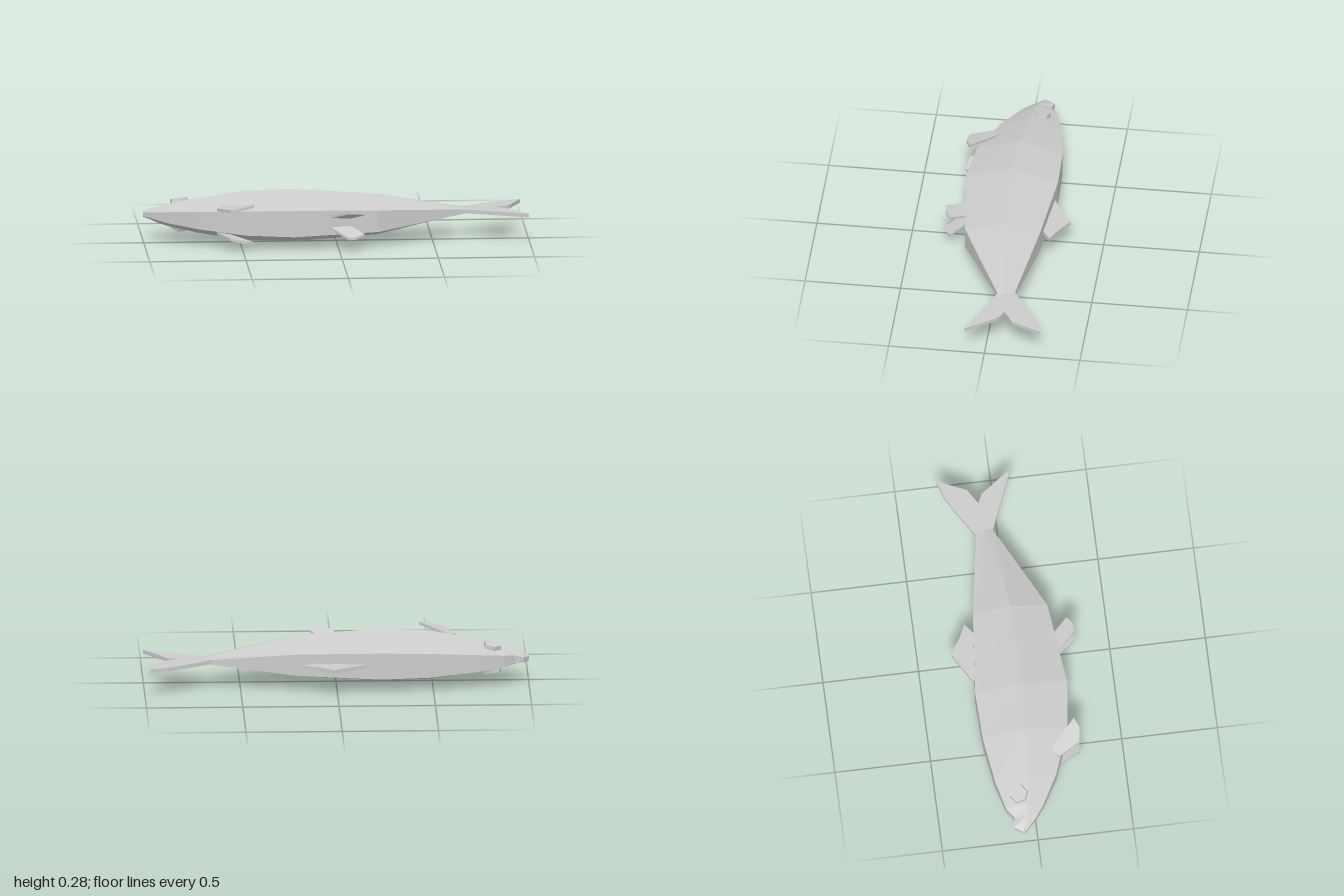
import * as THREE from 'three';

const MID = 0.141; // height of the fish's symmetry plane (it lies on its side)
const material = new THREE.MeshStandardMaterial({ color: 0xcccccc, flatShading: true });

// Body stations: x, back z, ridge z, belly z, ridge half thickness, edge half thickness
const stations = [
  [-1.0, -0.078, -0.07, -0.062, 0.015, 0.01],
  [-0.97, -0.125, -0.062, -0.035, 0.025, 0.014],
  [-0.925, -0.11, -0.045, 0.005, 0.042, 0.022],
  [-0.87, -0.15, -0.035, 0.045, 0.06, 0.03],
  [-0.72, -0.19, -0.015, 0.13, 0.092, 0.046],
  [-0.48, -0.225, 0, 0.22, 0.13, 0.064],
  [-0.23, -0.233, 0.01, 0.25, 0.139, 0.07],
  [0.21, -0.19, 0.01, 0.2, 0.108, 0.057],
  [0.68, -0.115, -0.07, -0.03, 0.014, 0.01],
];

// Six-sided cross-sections joined along the length
function bodyGeometry() {
  const points = [], faces = [], last = (stations.length - 1) * 6;
  for (const [x, back, ridge, belly, h, e] of stations) {
    for (const [z, y] of [[back, e], [ridge, h], [belly, e], [belly, -e], [ridge, -h], [back, -e]]) {
      points.push(x, MID + y, z);
    }
  }
  for (let i = 0; i < last; i += 6) {
    for (let j = 0; j < 6; j++) {
      const k = (j + 1) % 6;
      const a = i + j, b = a + 6, c = i + 6 + k, d = i + k;
      faces.push(a, d, c, a, c, b);
    }
  }
  for (let j = 1; j < 5; j++) {
    faces.push(0, j + 1, j, last, last + j, last + j + 1);
  }
  const indexed = new THREE.BufferGeometry();
  indexed.setAttribute('position', new THREE.Float32BufferAttribute(points, 3));
  indexed.setIndex(faces);
  const geometry = indexed.toNonIndexed();
  geometry.computeVertexNormals();
  return geometry;
}

// Thin plate from an (x, z) outline; height(x, z) gives its middle surface
function finGeometry(outline, thickness, height) {
  const shape = new THREE.Shape(outline.map(([x, z]) => new THREE.Vector2(x, z)));
  const geometry = new THREE.ExtrudeGeometry(shape, { depth: thickness, bevelEnabled: false });
  geometry.rotateX(Math.PI / 2).translate(0, thickness / 2, 0);
  const p = geometry.attributes.position;
  for (let i = 0; i < p.count; i++) {
    p.setY(i, p.getY(i) + height(p.getX(i), p.getZ(i)));
  }
  geometry.computeVertexNormals();
  return geometry;
}

export function createModel() {
  const group = new THREE.Group();
  const add = (name, geometry) => {
    const mesh = new THREE.Mesh(geometry, material);
    mesh.name = name;
    group.add(mesh);
    return mesh;
  };

  add('body', bodyGeometry());

  // Fins in the symmetry plane
  add('tailFin', finGeometry([
    [0.655, -0.117], [0.76, -0.187], [0.88, -0.255], [0.975, -0.286], [0.91, -0.134],
    [0.83, -0.085], [0.88, -0.06], [0.998, 0.104], [0.845, 0.043], [0.67, -0.03],
  ], 0.02, () => MID));
  add('dorsalFin', finGeometry([
    [-0.165, -0.22], [0.02, -0.329], [0.1, -0.275], [0.175, -0.24], [0.11, -0.19], [0, -0.18],
  ], 0.02, () => MID));

  // Paired fins and eyes on both flanks
  for (const [side, s] of [['upper', 1], ['lower', -1]]) {
    add(side + 'PectoralFin', finGeometry([
      [-0.595, 0.118], [-0.44, 0.257], [-0.495, 0.28], [-0.567, 0.272], [-0.63, 0.158],
    ], 0.015, (x) => MID + s * (0.062 + 0.2 * (x + 0.63))));
    add(side + 'PelvicFin', finGeometry([
      [-0.04, 0.228], [0.06, 0.21], [0.13, 0.29], [0.09, 0.315], [0.045, 0.322],
    ], 0.013, (x, z) => MID + s * (0.03 + 0.4 * (z - 0.225))));
    const eye = add(side + 'Eye', new THREE.CylinderGeometry(0.046, 0.053, 0.035, 6));
    eye.position.set(-0.81, MID + s * 0.063, -0.075);
    eye.rotation.set(s > 0 ? -0.2 : Math.PI + 0.2, 0.15, s > 0 ? 0.15 : -0.15, 'ZXY');
  }
  return group;
}
